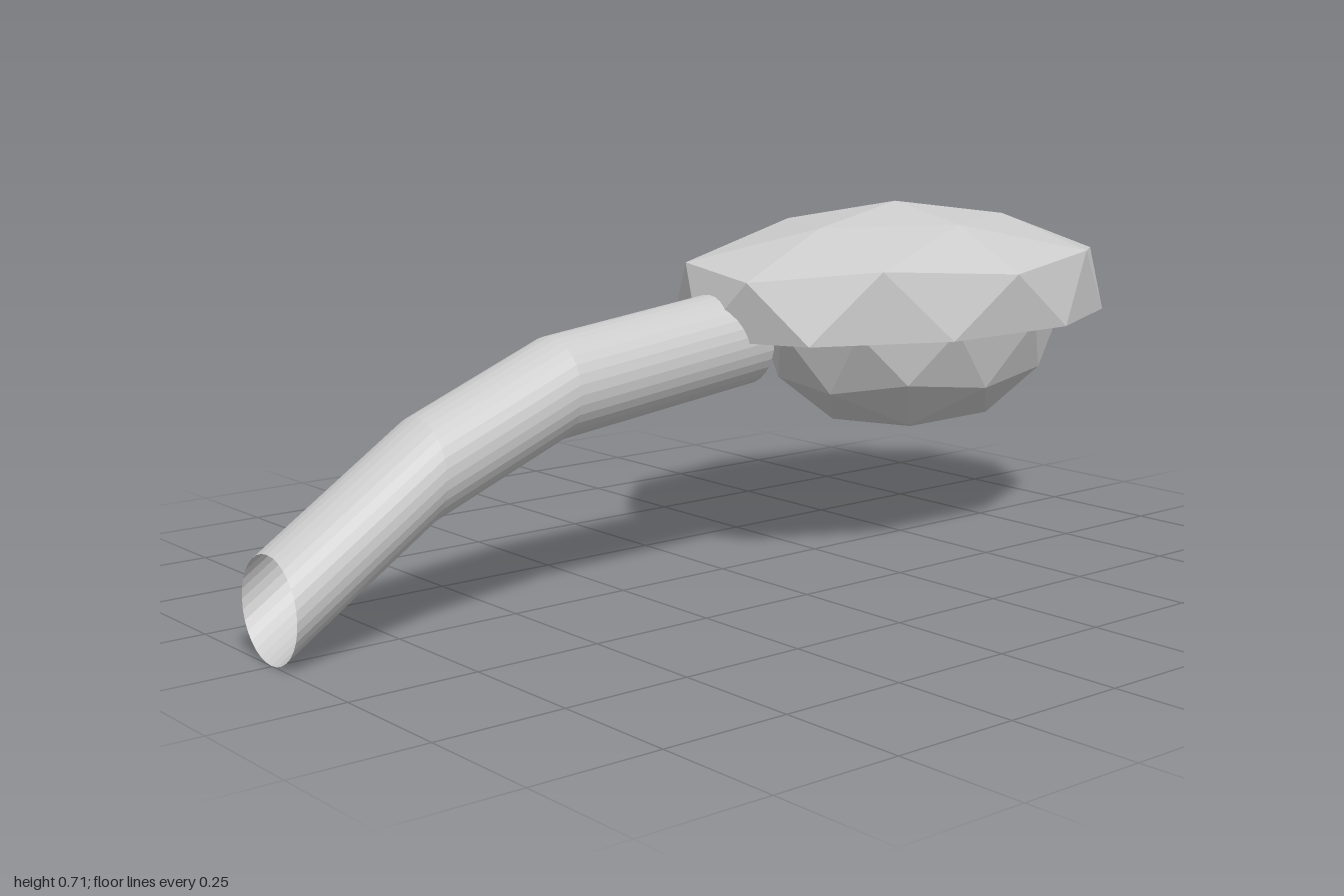
import * as THREE from 'three';

const material = new THREE.MeshStandardMaterial({ color: 0xcccccc, flatShading: true, side: THREE.DoubleSide });

// Half of a faceted ball: apex, ring of five, zigzag ring of ten, rim of ten.
// Each ring is [radius factor, height].
function dome(name, rx, rz, apexY, inner, corner, middle, rim) {
  const positions = [];
  const at = ([r, y], degrees) => {
    const a = THREE.MathUtils.degToRad(degrees);
    return [rx * r * Math.cos(a), y, rz * r * Math.sin(a)];
  };
  const tri = (a, b, c) => positions.push(...a, ...c, ...b);
  const apex = [0, apexY, 0];
  const P = (k) => at(inner, 72 * k);
  const R = (j) => at(j % 2 ? middle : corner, 36 * j);
  const E = (j) => at(rim, 18 + 36 * j);
  for (let k = 0; k < 5; k++) {
    tri(apex, P(k), P(k + 1));
    tri(P(k), R(2 * k + 1), P(k + 1));
    tri(P(k), R(2 * k), R(2 * k + 1));
    tri(P(k + 1), R(2 * k + 1), R(2 * k + 2));
  }
  for (let j = 0; j < 10; j++) {
    tri(R(j), E(j), R(j + 1));
    tri(R(j + 1), E(j), E(j + 1));
    tri([0, 0, 0], E(j + 1), E(j)); // flat underside
  }
  const geometry = new THREE.BufferGeometry();
  geometry.setAttribute('position', new THREE.Float32BufferAttribute(positions, 3));
  geometry.computeVertexNormals();
  const mesh = new THREE.Mesh(geometry, material);
  mesh.name = name;
  return mesh;
}

// Open bent pipe whose cross-sections all stay upright
function bentArm() {
  const path = [[0.105, 1], [0.304, 0.7], [0.42, 0.41], [0.475, -0.055]]; // [y, z]
  const last = path.length - 1;
  const geometry = new THREE.CylinderGeometry(0.097, 0.097, last, 32, last, true).rotateX(Math.PI / 2);
  const p = geometry.attributes.position;
  for (let i = 0; i < p.count; i++) {
    const [y, z] = path[Math.round(last / 2 - p.getZ(i))];
    p.setXYZ(i, p.getX(i) - 0.005, p.getY(i) + y, z);
  }
  geometry.computeVertexNormals();
  const mesh = new THREE.Mesh(geometry, material);
  mesh.name = 'arm';
  return mesh;
}

export function createModel() {
  const group = new THREE.Group();
  group.name = 'streetLamp';

  // Oval lamp cover
  const cover = dome('cover', 0.39, 0.59, 0.243, [0.475, 0.206], [0.894, 0.12], [0.855, 0.14], [0.9, 0]);
  cover.position.set(-0.005, 0.475, -0.475);

  // Bulb hanging below, the same shape turned over
  const bulb = dome('bulb', 0.258, 0.373, 0.243, [0.53, 0.21], [0.89, 0.11], [0.84, 0.131], [1, 0]);
  bulb.position.set(-0.005, 0.475, -0.53);
  bulb.rotation.z = Math.PI;

  group.add(cover, bulb, bentArm());
  return group;
}
